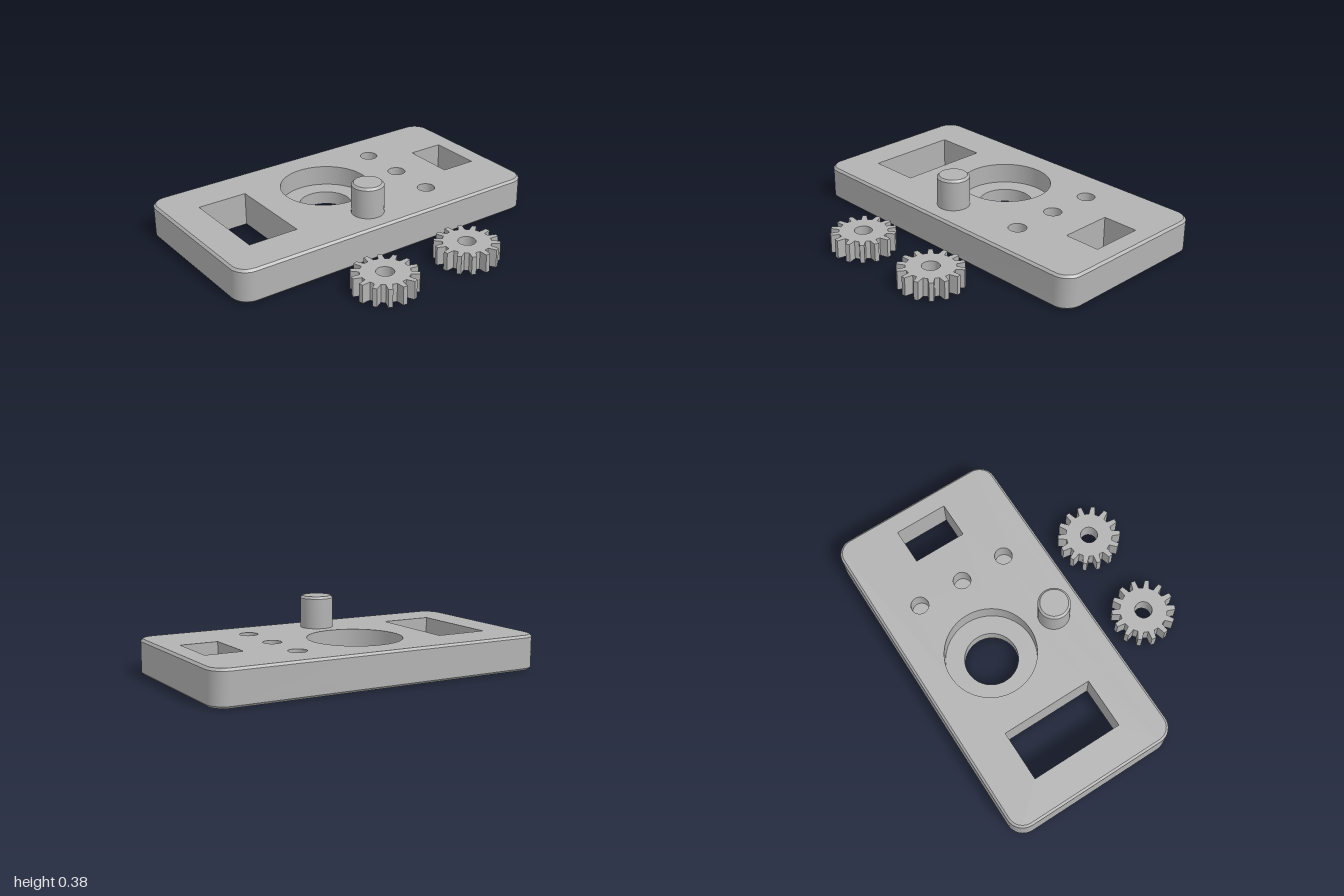
import * as THREE from 'three';
import { mergeGeometries, toCreasedNormals } from 'three/addons/utils/BufferGeometryUtils.js';

const TOP = 0.2, BEVEL = 0.013, LEDGE = 0.08, PIT = 0.1;

// Plan outlines are lists of Vector2 (x, -z), counter-clockwise seen from above
const circle = (x, z, r, n = 48) => Array.from({ length: n }, (_, i) => {
  const a = (i / n) * Math.PI * 2;
  return new THREE.Vector2(x + r * Math.cos(a), -z + r * Math.sin(a));
});

function roundedRect(x0, x1, z0, z1, r, n = 8) {
  const pts = [];
  [[x1, z0], [x0, z0], [x0, z1], [x1, z1]].forEach(([x, z], k) => {
    const cx = x + (x === x1 ? -r : r), cz = z + (z === z0 ? r : -r);
    for (let i = 0; i <= n && (r > 0 || i < 1); i++) {
      const a = (k + i / n) * Math.PI / 2;
      pts.push(new THREE.Vector2(cx + r * Math.cos(a), -cz + r * Math.sin(a)));
    }
  });
  return pts;
}

// Flat face at height y, facing up or down
function cap(outline, holes, y, up = true) {
  const flip = (pts) => pts.map((p) => new THREE.Vector2(p.x, up ? p.y : -p.y));
  const shape = new THREE.Shape(flip(outline));
  shape.holes = holes.map((h) => new THREE.Path(flip(h)));
  const g = new THREE.ShapeGeometry(shape).rotateX(up ? -Math.PI / 2 : Math.PI / 2).translate(0, y, 0);
  return g.toNonIndexed();
}

// Wall through stacked outlines [points, y] from low to high; inward for holes
function wall(levels, inward = false) {
  const pos = [];
  for (let l = 0; l + 1 < levels.length; l++) {
    const [a, ya] = levels[l], [b, yb] = levels[l + 1];
    a.forEach((p, i) => {
      const j = (i + 1) % a.length;
      const quad = [[p, ya], [a[j], ya], [b[j], yb], [b[i], yb]];
      for (const k of inward ? [0, 2, 1, 0, 3, 2] : [0, 1, 2, 0, 2, 3]) {
        pos.push(quad[k][0].x, quad[k][1], -quad[k][0].y);
      }
    });
  }
  const g = new THREE.BufferGeometry();
  g.setAttribute('position', new THREE.Float32BufferAttribute(pos, 3));
  return g;
}

function plateGeometry() {
  const full = roundedRect(-1, 1, -0.761, 0.285, 0.1);
  const inset = roundedRect(-1 + BEVEL, 1 - BEVEL, -0.761 + BEVEL, 0.285 - BEVEL, 0.1 - BEVEL);
  const windows = [
    roundedRect(-0.797, -0.493, -0.514, 0.042, 0),
    roundedRect(0.664, 0.883, -0.395, -0.075, 0),
  ];
  const bore = circle(-0.05, -0.33, 0.266, 64), eye = circle(-0.05, -0.33, 0.156, 64);
  const pits = [-0.522, -0.236, 0.05].map((z) => circle(0.415, z, 0.052, 32));
  const parts = [
    cap(inset, [...windows, bore, ...pits], TOP),
    cap(inset, [...windows, eye], 0, false),
    wall([[inset, 0], [full, BEVEL], [full, TOP - BEVEL], [inset, TOP]]),
    // Stepped through-hole
    wall([[bore, LEDGE], [bore, TOP]], true),
    cap(bore, [eye], LEDGE),
    wall([[eye, 0], [eye, LEDGE]], true),
    ...windows.map((w) => wall([[w, 0], [w, TOP]], true)),
    // Blind holes
    ...pits.flatMap((p) => [wall([[p, PIT], [p, TOP]], true), cap(p, [], PIT)]),
  ];
  for (const g of parts) {
    g.deleteAttribute('uv');
    g.deleteAttribute('normal');
  }
  return toCreasedNormals(mergeGeometries(parts), 0.5);
}

function gearGeometry(teeth = 14) {
  const pts = [], step = (Math.PI * 2) / teeth;
  const root = 0.138, tip = 0.187, rootHalf = 0.13, tipHalf = 0.068;
  const add = (r, a) => pts.push(new THREE.Vector2(r * Math.cos(a), r * Math.sin(a)));
  for (let i = 0; i < teeth; i++) {
    const a = THREE.MathUtils.degToRad(87.5) + i * step;
    add(root, a - rootHalf);
    add(tip, a - tipHalf);
    add(tip, a + tipHalf);
    add(root, a + rootHalf);
    add(root, a + step / 2);
  }
  const shape = new THREE.Shape(pts);
  shape.holes.push(new THREE.Path(circle(0, 0, 0.051, 32)));
  const g = new THREE.ExtrudeGeometry(shape, { depth: 0.11, bevelEnabled: false });
  return toCreasedNormals(g.rotateX(-Math.PI / 2), 0.4);
}

export function createModel() {
  const model = new THREE.Group();
  model.name = 'mechanismPlateWithGears';
  const grey = new THREE.MeshStandardMaterial({ color: 0xb2b2b2 });
  grey.name = 'grey';
  const add = (name, geometry, x = 0, y = 0, z = 0) => {
    const mesh = new THREE.Mesh(geometry, grey);
    mesh.name = name;
    mesh.position.set(x, y, z);
    model.add(mesh);
  };

  add('plate', plateGeometry());

  // Standing peg with a chamfered rim
  const r = 0.094, h = 0.385 - TOP;
  const profile = [[r, 0], [r, h - BEVEL], [r - BEVEL, h], [0, h]].map(([x, y]) => new THREE.Vector2(x, y));
  add('peg', toCreasedNormals(new THREE.LatheGeometry(profile, 48), 0.5), -0.05, TOP, 0.098);

  // Loose spur gears in front of the plate
  const gear = gearGeometry();
  add('rightGear', gear, -0.287, 0, 0.574);
  add('leftGear', gear, 0.285, 0, 0.574);
  return model;
}
